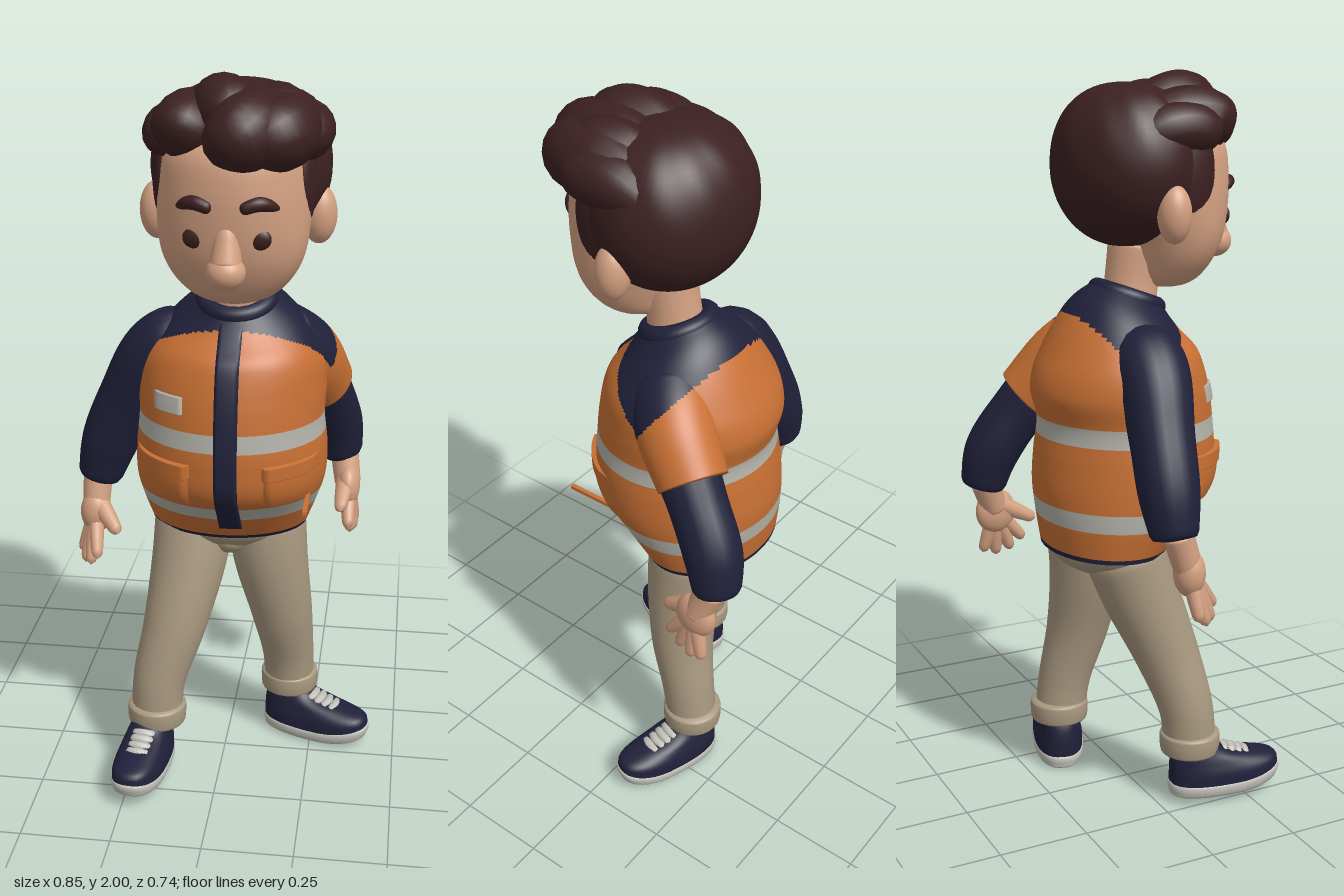
import * as THREE from 'three';

const mat = (name, color) => {
  const m = new THREE.MeshStandardMaterial({ color, side: THREE.DoubleSide });
  m.name = name;
  return m;
};
const ORANGE = mat('vest orange', 0xc87034), NAVY = mat('navy cloth', 0x20213a);
const SILVER = mat('reflective silver', 0xb4b3aa), SKIN = mat('skin', 0xd4a182);
const HAIR = mat('dark brown hair', 0x3c2021), PANTS = mat('khaki', 0xa8987f);
const SOLE = mat('sole white', 0xc4c3bb), EYE = mat('eye brown', 0x3a1f1b);
const V = (a) => new THREE.Vector3(...a);

// Surface from f(u, v); u wraps when closed, paint(x, y, z) picks a material index
function grid(name, mats, nu, nv, f, { closed = true, paint = () => 0 } = {}) {
  const pos = [], cols = closed ? nu : nu + 1;
  for (let j = 0; j <= nv; j++) for (let i = 0; i < cols; i++) pos.push(...f(i / nu, j / nv));
  const list = [].concat(mats), parts = list.map(() => []);
  const mid = (a, c, k) => (pos[a * 3 + k] + pos[c * 3 + k]) / 2;
  for (let j = 0; j < nv; j++) for (let i = 0; i < nu; i++) {
    const i2 = (i + 1) % cols, a = j * cols + i, b = j * cols + i2, c = b + cols, d = a + cols;
    parts[paint(mid(a, c, 0), mid(a, c, 1), mid(a, c, 2))].push(a, b, c, a, c, d);
  }
  const g = new THREE.BufferGeometry();
  g.setAttribute('position', new THREE.Float32BufferAttribute(pos, 3));
  g.setIndex(parts.flat());
  let start = 0;
  parts.forEach((p, k) => { g.addGroup(start, p.length, k); start += p.length; });
  g.computeVertexNormals();
  const mesh = new THREE.Mesh(g, list.length > 1 ? list : list[0]);
  mesh.name = name;
  return mesh;
}

// Smooth interpolation through table rows
function sample(rows, t) {
  const n = rows.length - 1, s = t * n, i = Math.min(Math.floor(s), n - 1), u = s - i;
  return rows[0].map((_, k) => {
    const p1 = rows[i][k], p2 = rows[i + 1][k];
    const p0 = i > 0 ? rows[i - 1][k] : 2 * p1 - p2;
    const p3 = i + 2 <= n ? rows[i + 2][k] : 2 * p2 - p1;
    return p1 + 0.5 * u * (p2 - p0 + u * (2 * p0 - 5 * p1 + 4 * p2 - p3 + u * (3 * (p1 - p2) + p3 - p0)));
  });
}

// Stacked ovals; rows are [y, centre x, half width, front z, back z], power under 1 squares the oval
const bulge = (c, power) => Math.sign(c) * Math.abs(c) ** power;
function loft(name, m, rows, nu, nv, { bend = (p) => p, power = 1, paint } = {}) {
  return grid(name, m, nu, nv, (u, v) => {
    const [y, cx, rx, zf, zb] = sample(rows, v), a = u * Math.PI * 2;
    return bend([cx + rx * bulge(Math.cos(a), power), y, (zf + zb) / 2 - (zf - zb) / 2 * bulge(Math.sin(a), power)]);
  }, { paint });
}

// Tapered tube along a curve, with rounded ends of relative length r0 and r1
function limb(name, m, pts, radii, { r0 = 0.1, r1 = 0.1, nu = 18, nv = 24, ref = [0, 0, 1], paint } = {}) {
  const curve = new THREE.CatmullRomCurve3(pts.map(V)), rr = radii.map((r) => [r]);
  const end = (d, w) => (d >= w ? 1 : Math.sqrt(Math.max(0, 1 - (1 - d / w) ** 2)));
  return grid(name, m, nu, nv, (u, v) => {
    const t = curve.getTangent(v), n = t.clone().cross(V(ref)).normalize(), b = t.clone().cross(n);
    const r = sample(rr, v)[0] * end(v, r0) * end(1 - v, r1), a = u * Math.PI * 2;
    return curve.getPoint(v).addScaledVector(n, r * Math.cos(a)).addScaledVector(b, r * Math.sin(a)).toArray();
  }, { paint });
}

function ball(name, m, p, s) {
  const mesh = new THREE.Mesh(new THREE.SphereGeometry(1, 32, 22), m);
  mesh.name = name;
  mesh.position.set(...p);
  mesh.scale.set(...s);
  return mesh;
}

const TORSO = [[0.73, 0.005, 0.22, 0.085, -0.238], [0.8175, 0.01, 0.245, 0.155, -0.25],
  [0.905, 0.017, 0.262, 0.228, -0.257], [0.9925, 0.02, 0.262, 0.243, -0.25],
  [1.08, 0.02, 0.253, 0.238, -0.24], [1.1675, 0.02, 0.255, 0.225, -0.258],
  [1.255, 0.025, 0.24, 0.2, -0.23], [1.3425, 0.03, 0.18, 0.16, -0.16], [1.43, 0.035, 0.085, 0.1, -0.07]];
// The neckline leans forward
const lean = ([x, y, z]) => [x, y - 0.35 * THREE.MathUtils.smoothstep(y, 1.25, 1.4) * z, z];
const yoke = (y, z) => y > 1.2 + (z > -0.04 ? 0.85 : 1.4) * Math.abs(z + 0.04);

// Raised panel that follows the front of the torso
function panel(name, m, x0, x1, y0, y1, lift) {
  return grid(name, m, 12, 32, (u, v) => {
    const x = x0 + (x1 - x0) * u, y = y0 + (y1 - y0) * v;
    const [, cx, rx, zf, zb] = sample(TORSO, (y - 0.73) / 0.7);
    const z = (zf + zb) / 2 + (zf - zb) / 2 * Math.sqrt(Math.max(0, 1 - ((x - cx) / rx) ** 2));
    const edge = u === 0 || u === 1 || v === 0 || v === 1;
    return lean([x, y, z + (edge ? 0 : lift)]);
  }, { closed: false });
}

function makeHead() {
  const g = new THREE.Group();
  g.name = 'head';
  g.add(limb('neck', SKIN, [[0.035, 1.36, 0.02], [0.038, 1.45, 0.03], [0.04, 1.56, 0.05]], [0.078, 0.073, 0.08]));
  g.add(loft('face', SKIN, [[1.428, 0.04, 0.005, 0.14, 0.12], [1.434, 0.04, 0.068, 0.185, 0.06],
    [1.46, 0.04, 0.118, 0.222, 0.035], [1.51, 0.04, 0.16, 0.255, 0.02], [1.57, 0.04, 0.184, 0.28, 0.0],
    [1.65, 0.04, 0.194, 0.295, -0.04], [1.74, 0.04, 0.195, 0.3, -0.09], [1.82, 0.04, 0.18, 0.285, -0.09],
    [1.88, 0.04, 0.12, 0.22, -0.02]], 40, 40));
  g.add(limb('nose bridge', SKIN, [[0.04, 1.68, 0.265], [0.04, 1.61, 0.276], [0.04, 1.55, 0.29]],
    [0.022, 0.034, 0.042], { r0: 0.4, ref: [1, 0, 0] }));
  g.add(ball('nose tip', SKIN, [0.04, 1.543, 0.289], [0.049, 0.044, 0.047]));
  for (const s of [-1, 1]) {
    const x = (d) => 0.04 + s * d;
    g.add(ball('ear', SKIN, [x(0.208), 1.64, 0.05], [0.046, 0.076, 0.045]));
    g.add(ball('eye', EYE, [x(0.078), 1.622, 0.268], [0.031, 0.027, 0.014]));
    g.add(limb('eyebrow', HAIR, [[x(0.033), 1.697, 0.294], [x(0.08), 1.711, 0.282], [x(0.127), 1.694, 0.249]],
      [0.015, 0.018, 0.011], { r0: 0.15, r1: 0.3 }));
    g.add(ball('sideburn', HAIR, [x(0.172), 1.745, 0.115], [0.034, 0.13, 0.07]));
  }
  // Hair: a grooved cap with swept locks on top
  g.add(grid('hair cap', HAIR, 72, 36, (u, v) => {
    const a = u * Math.PI * 2, b = (v - 0.5) * Math.PI;
    const k = Math.max(0, Math.cos(b)) ** (b > 0 ? 0.8 : 0.9)
      * (1 + 0.012 * Math.sin(11 * a + 4 * b) * Math.max(0, Math.sin(2 * b)));
    return [0.045 + 0.232 * k * Math.cos(a), 1.755 + 0.215 * Math.sin(b), 0.02 - 0.2 * k * Math.sin(a)];
  }));
  const locks = [
    [0.095, [[0.09, 1.78, -0.1], [0.09, 1.88, 0.12], [0.075, 1.87, 0.25], [-0.01, 1.835, 0.305]]],
    [0.09, [[0.16, 1.78, -0.1], [0.175, 1.87, 0.11], [0.155, 1.865, 0.22], [0.08, 1.845, 0.3]]],
    [0.085, [[-0.03, 1.78, -0.1], [-0.06, 1.87, 0.1], [-0.075, 1.865, 0.2], [-0.095, 1.825, 0.25]]],
    [0.07, [[0.17, 1.76, -0.1], [0.208, 1.85, 0.04], [0.215, 1.86, 0.14], [0.19, 1.845, 0.22]]],
    [0.065, [[-0.07, 1.76, -0.1], [-0.114, 1.845, 0.04], [-0.122, 1.85, 0.14], [-0.11, 1.815, 0.2]]],
    [0.08, [[0.04, 1.8, -0.1], [0.01, 1.905, 0.1], [0.03, 1.917, 0.19], [0.08, 1.87, 0.26]]],
    [0.072, [[0.1, 1.8, -0.1], [0.135, 1.895, 0.08], [0.16, 1.9, 0.16], [0.19, 1.86, 0.21]]],
  ];
  for (const [r, pts] of locks)
    g.add(limb('hair lock', HAIR, pts, [r * 0.8, r, r, r * 0.75], { r0: 0.4, r1: 0.3, ref: [1, 0, 0] }));
  return g;
}

function makeVest() {
  const g = new THREE.Group();
  g.name = 'vest';
  g.add(loft('torso', [ORANGE, NAVY, SILVER], TORSO, 160, 112, {
    bend: lean,
    paint: (x, y, z) => (y < 0.7425 || yoke(y, z) || y > 1.39 ? 1
      : (y > 0.8175 && y < 0.8675) || (y > 1.0425 && y < 1.0925) ? 2 : 0),
  }));
  const collar = new THREE.Mesh(new THREE.TorusGeometry(0.085, 0.025, 14, 40), NAVY);
  collar.name = 'collar';
  collar.position.set(0.035, 1.405, 0.015);
  collar.rotation.x = Math.PI / 2 + 0.35;
  g.add(collar);
  g.add(panel('front placket', NAVY, 0.0, 0.062, 0.775, 1.4, 0.009));
  g.add(panel('chest badge', SILVER, -0.168, -0.085, 1.135, 1.182, 0.007));
  for (const [a, b] of [[-0.225, -0.07], [0.13, 0.262]]) {
    g.add(panel('pocket', ORANGE, a, b, 0.875, 0.985, 0.012));
    g.add(panel('pocket flap', ORANGE, a - 0.005, b + 0.005, 0.965, 1.005, 0.018));
  }
  const tab = new THREE.Mesh(new THREE.BoxGeometry(0.012, 0.01, 0.15), ORANGE);
  tab.name = 'pocket tab';
  tab.position.set(0.24, 0.885, 0.16);
  g.add(tab);
  return g;
}

// Wrist and palm, then tapered fingers rooted inside the palm
function makeHand(name, wrist, palm, size, tips, thumb) {
  const g = new THREE.Group(), w = V(wrist), p = V(palm);
  g.name = name;
  g.add(limb('wrist', SKIN, [wrist, w.clone().lerp(p, 0.5).toArray(), palm], [0.042, 0.04, 0.038]));
  g.add(ball('palm', SKIN, palm, size));
  tips.forEach((t) => {
    const base = p.clone().lerp(V(t), 0.05), mid = p.clone().lerp(V(t), 0.6);
    g.add(limb('finger', SKIN, [base.toArray(), mid.toArray(), t], [0.023, 0.02, 0.015], { r1: 0.2, nu: 10, nv: 12 }));
  });
  const a = w.clone().lerp(p, 0.7);
  g.add(limb('thumb', SKIN, [a.toArray(), a.clone().lerp(V(thumb), 0.6).toArray(), thumb], [0.03, 0.023, 0.016],
    { r1: 0.2, nu: 10, nv: 12 }));
  return g;
}

function makeArms() {
  const g = new THREE.Group();
  g.name = 'arms';
  g.add(limb('right sleeve', NAVY, [[-0.06, 1.3, -0.02], [-0.18, 1.237, -0.02], [-0.275, 1.085, -0.04], [-0.335, 0.95, -0.05],
    [-0.37, 0.83, -0.05]], [0.1, 0.098, 0.086, 0.08, 0.06], { r0: 0.2, r1: 0.04, nv: 40 }));
  g.add(limb('left sleeve', NAVY, [[0.12, 1.3, -0.01], [0.2, 1.215, -0.09], [0.257, 1.08, -0.205], [0.29, 0.95, -0.287],
    [0.308, 0.835, -0.315]], [0.1, 0.096, 0.08, 0.078, 0.062], { r0: 0.15, r1: 0.04, nv: 40 }));
  g.add(limb('left shoulder cap', [ORANGE, NAVY], [[0.11, 1.3, -0.015], [0.195, 1.22, -0.095], [0.25, 1.105, -0.195]],
    [0.105, 0.107, 0.093], { r0: 0.2, r1: 0.001, nu: 80, nv: 80, paint: (x, y, z) => (yoke(y, z) ? 1 : 0) }));
  g.add(makeHand('right hand', [-0.37, 0.86, -0.045], [-0.373, 0.745, -0.01], [0.044, 0.064, 0.042],
    [[-0.415, 0.62, 0.0], [-0.4, 0.6, 0.03], [-0.38, 0.605, 0.055], [-0.355, 0.635, 0.075]], [-0.295, 0.71, 0.06]));
  g.add(makeHand('left hand', [0.316, 0.86, -0.305], [0.333, 0.755, -0.265], [0.035, 0.066, 0.06],
    [[0.34, 0.655, -0.175], [0.345, 0.625, -0.215], [0.352, 0.613, -0.26], [0.355, 0.625, -0.3]], [0.315, 0.72, -0.148]));
  return g;
}

function makeShoe(name, x, y, z, yaw) {
  const g = new THREE.Group();
  g.name = name;
  const shape = { power: 0.8, bend: ([px, py, pz]) => [px, py + Math.max(0, pz - 0.1) ** 2, pz] };
  g.add(loft('sole', SOLE, [[0, 0, 0.002, 0.09, 0.08], [0.001, 0, 0.058, 0.23, -0.055], [0.016, 0, 0.072, 0.253, -0.073],
    [0.038, 0, 0.073, 0.256, -0.074], [0.043, 0, 0.06, 0.24, -0.06]], 40, 16, shape));
  g.add(loft('upper', NAVY, [[0.034, 0, 0.072, 0.254, -0.072], [0.07, 0, 0.071, 0.243, -0.072],
    [0.1, 0, 0.063, 0.18, -0.07], [0.125, 0, 0.055, 0.1, -0.065], [0.15, 0, 0.047, 0.06, -0.055]], 40, 20, shape));
  for (const [ly, lz] of [[0.127, 0.085], [0.121, 0.107], [0.113, 0.129], [0.106, 0.151]])
    g.add(limb('lace', SOLE, [[-0.036, ly - 0.006, lz - 0.008], [0, ly, lz], [0.036, ly - 0.006, lz - 0.008]],
      [0.012, 0.013, 0.012], { nu: 8, nv: 8 }));
  g.position.set(x, y, z);
  g.rotation.y = yaw;
  return g;
}

function makeLegs() {
  const g = new THREE.Group();
  g.name = 'legs';
  g.add(ball('hips', PANTS, [0.005, 0.745, -0.078], [0.21, 0.095, 0.15]));
  g.add(ball('crotch', PANTS, [0.01, 0.69, -0.06], [0.07, 0.06, 0.1]));
  const legs = [
    ['right', [[-0.092, 0.78, -0.075], [-0.105, 0.62, -0.02], [-0.14, 0.43, 0.05], [-0.18, 0.27, 0.092], [-0.186, 0.14, 0.102]]],
    ['left', [[0.106, 0.78, -0.08], [0.123, 0.62, -0.07], [0.157, 0.43, -0.085], [0.176, 0.27, -0.12], [0.18, 0.14, -0.137]]],
  ];
  for (const [side, pts] of legs) {
    const [x, , z] = pts[4];
    g.add(limb(side + ' trouser leg', PANTS, pts, [0.115, 0.108, 0.09, 0.076, 0.074], { r1: 0.02, nv: 36, nu: 24 }));
    g.add(limb(side + ' cuff', PANTS, [[x, 0.13, z], [x, 0.17, z], [x, 0.212, z]], [0.08, 0.085, 0.083],
      { r0: 0.2, r1: 0.2, nu: 24 }));
  }
  g.add(makeShoe('right shoe', -0.2, 0.018, 0.11, -0.12));
  g.add(makeShoe('left shoe', 0.18, 0, -0.135, 1.25));
  return g;
}

export function createModel() {
  const model = new THREE.Group();
  model.name = 'worker figure';
  model.add(makeHead(), makeVest(), makeArms(), makeLegs());
  return model;
}
